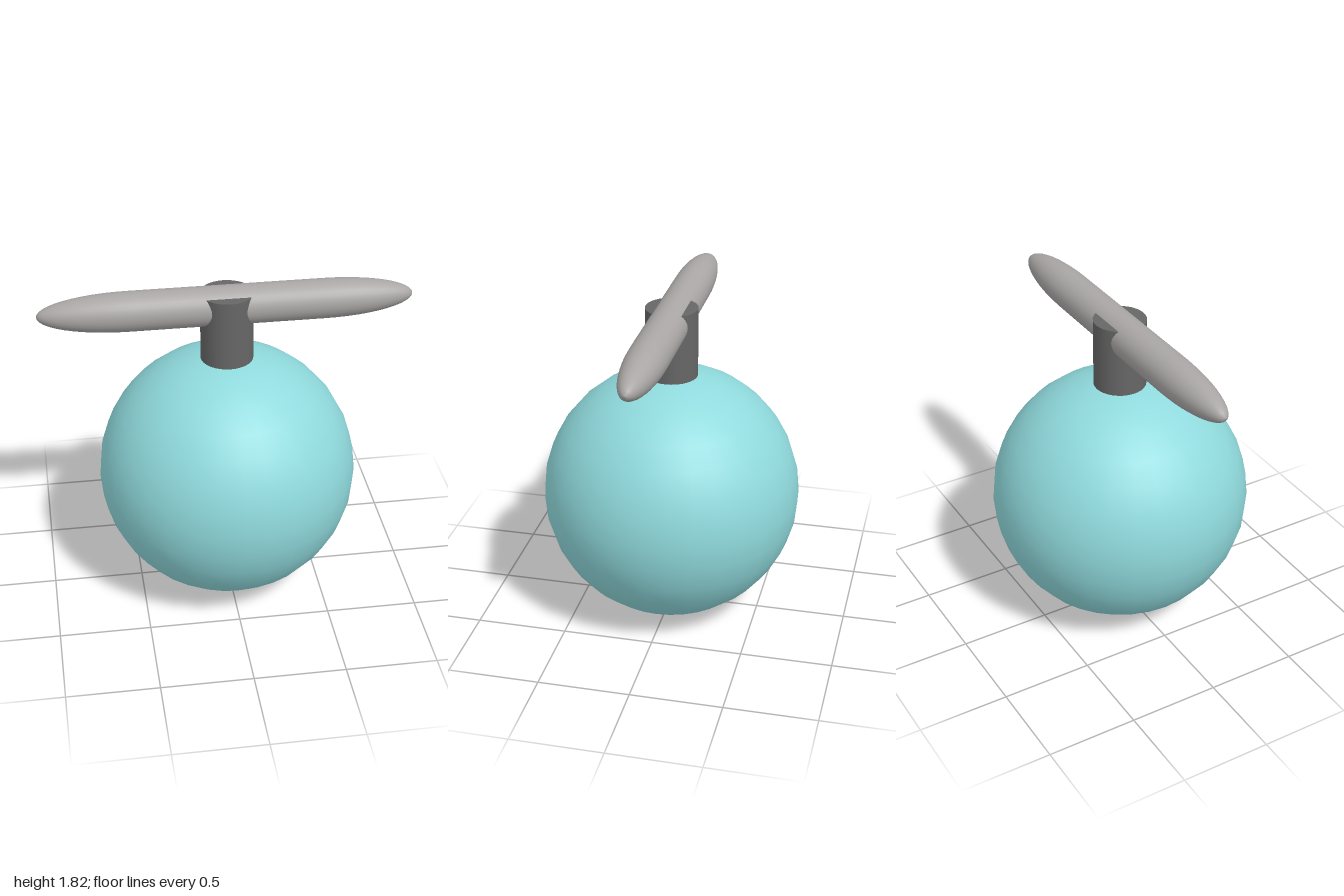
import * as THREE from 'three';

const SPHERE_RADIUS = 0.71;
const BAR_RADIUS = 0.107;
const BAR_Y = 1.717;

function part(name, geometry, color, y) {
  const mesh = new THREE.Mesh(geometry, new THREE.MeshStandardMaterial({ color }));
  mesh.name = name;
  mesh.position.y = y;
  return mesh;
}

// Straight rod whose ends taper as long half ellipsoids, lying along x
function taperedBar(radius, halfStraight, tipLength) {
  const steps = 12;
  const tip = [];
  for (let i = 0; i <= steps; i++) {
    const a = (i / steps) * Math.PI / 2;
    tip.push([radius * Math.sin(a), halfStraight + tipLength * Math.cos(a)]);
  }
  const profile = [
    ...tip.map(([r, l]) => new THREE.Vector2(r, -l)),
    ...tip.reverse().map(([r, l]) => new THREE.Vector2(r, l)),
  ];
  return new THREE.LatheGeometry(profile, 32).rotateZ(Math.PI / 2);
}

export function createModel() {
  const model = new THREE.Group();
  model.name = 'ballWithCrossbar';

  // Round body
  model.add(part('body', new THREE.SphereGeometry(SPHERE_RADIUS, 32, 16), 0x8fd9dc, SPHERE_RADIUS));

  // Upright stem, sunk slightly into the body
  const stemBottom = 1.36, stemTop = 1.79;
  model.add(part('stem',
    new THREE.CylinderGeometry(0.142, 0.142, stemTop - stemBottom, 32),
    0x666666, (stemTop + stemBottom) / 2));

  // Crossbar through the top of the stem
  model.add(part('crossbar', taperedBar(BAR_RADIUS, 0.52, 0.48), 0xaaa6a6, BAR_Y));

  return model;
}
